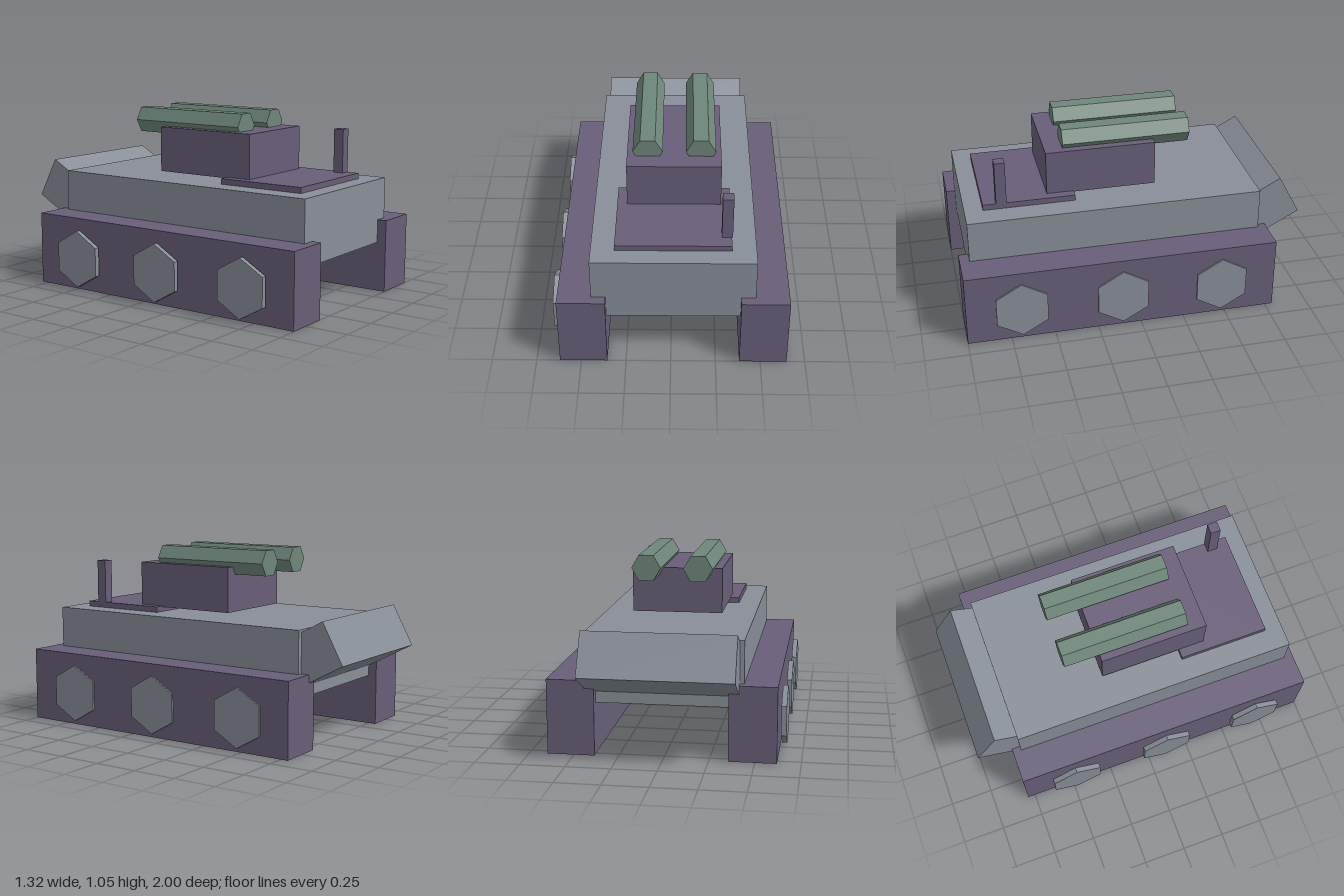
import * as THREE from 'three';

export function createModel() {
  const model = new THREE.Group();
  model.name = 'tank';

  const material = (name, color) => {
    const m = new THREE.MeshStandardMaterial({ color });
    m.name = name;
    return m;
  };
  const purple = material('dullPurple', 0x685e78);
  const grey = material('steelGrey', 0x888e98);
  const green = material('greyGreen', 0x6e867a);

  const add = (name, geometry, mat, x, y, z) => {
    const mesh = new THREE.Mesh(geometry, mat);
    mesh.name = name;
    mesh.position.set(x, y, z);
    model.add(mesh);
    return mesh;
  };
  // Box given by its minimum and maximum on each axis
  const box = (name, mat, [x0, x1], [y0, y1], [z0, z1]) =>
    add(name, new THREE.BoxGeometry(x1 - x0, y1 - y0, z1 - z0), mat,
      (x0 + x1) / 2, (y0 + y1) / 2, (z0 + z1) / 2);
  // Six-sided prism along y with flat-shaded facets
  const hexPrism = (radius, length) =>
    new THREE.CylinderGeometry(radius, radius, length, 6, 1, false, Math.PI / 6).toNonIndexed();
  const flatHex = (radius, length) => {
    const g = hexPrism(radius, length);
    g.computeVertexNormals();
    return g;
  };

  // Tracks and hull
  box('rightTrack', purple, [-0.62, -0.355], [0, 0.425], [-0.795, 1]);
  box('leftTrack', purple, [0.383, 0.648], [0, 0.425], [-0.795, 1]);
  box('hull', grey, [-0.435, 0.463], [0.29, 0.665], [-0.745, 0.945]);

  // Three hexagonal wheels on each side
  for (const z of [0.685, 0.105, -0.475]) {
    for (const [side, x] of [['right', -0.645], ['left', 0.643]]) {
      const wheel = add(side + 'Wheel', flatHex(0.168, 0.03), grey, x, 0.188, z);
      wheel.rotation.z = Math.PI / 2;
    }
  }

  // Tilted block at the rear
  const rear = add('rearBlock', new THREE.BoxGeometry(0.845, 0.262, 0.28), grey, 0.0125, 0.538, -0.812);
  rear.rotation.x = 0.497;

  // Deck plate, aerial and turret
  box('deckPlate', purple, [-0.305, 0.33], [0.66, 0.698], [0.313, 0.84]);
  box('aerial', purple, [0.275, 0.335], [0.698, 0.953], [0.705, 0.765]);
  box('turret', purple, [-0.25, 0.277], [0.692, 0.954], [-0.163, 0.468]);

  // Twin launch tubes
  for (const x of [-0.134, 0.163]) {
    const tube = add('launchTube', flatHex(0.084, 0.737), green, x, 0.982, -0.004);
    tube.rotation.x = Math.PI / 2;
  }

  return model;
}
